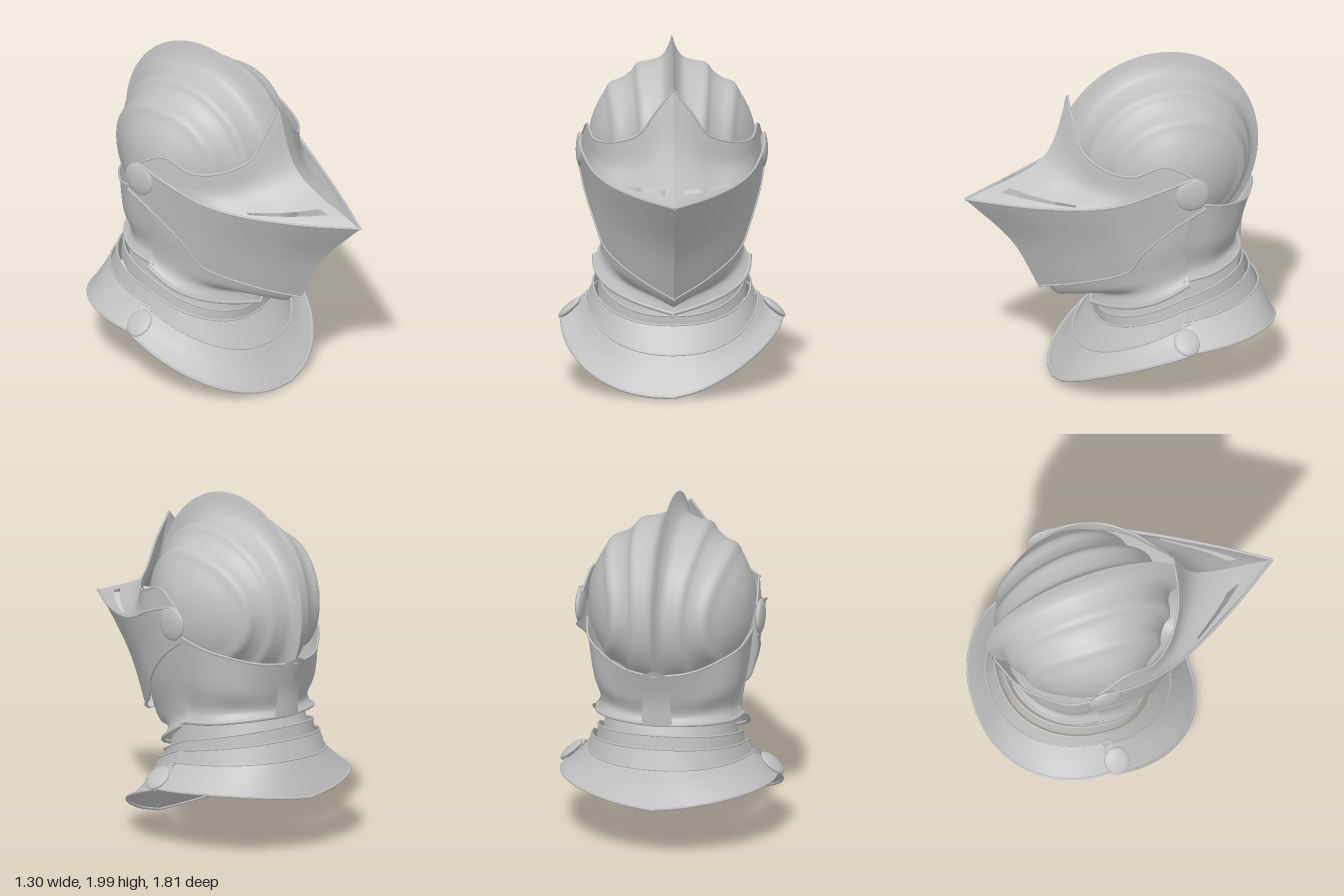
import * as THREE from 'three';

const steel = new THREE.MeshStandardMaterial({ color: 0xc0c0c0, side: THREE.DoubleSide });
steel.name = 'plain steel';

const V = (x, y, z) => new THREE.Vector3(x, y, z);
const pts = (list) => list.map((p) => V(...p));
const spline = (points) => new THREE.CatmullRomCurve3(points);

// Smooth sheet through rows of control points; sign mirrors it in x
function sheet(rows, sign, { nu = 32, nv = 16, round = false, hole = () => false, warp = (u, v) => v } = {}) {
  const curves = rows.map(spline);
  const pos = [], idx = [];
  for (let i = 0; i <= nu; i++) {
    const across = spline(curves.map((c) => c.getPoint(i / nu)));
    for (let j = 0; j <= nv; j++) {
      const p = across.getPoint(warp(i / nu, j / nv));
      pos.push(p.x * sign, p.y, p.z);
      if (i === nu || j === nv || hole(i / nu, j / nv)) continue;
      const a = i * (nv + 1) + j, b = a + nv + 1;
      if (sign > 0) idx.push(a, b, a + 1, b, b + 1, a + 1);
      else idx.push(a, a + 1, b, b, a + 1, b + 1);
    }
  }
  const g = new THREE.BufferGeometry();
  g.setAttribute('position', new THREE.Float32BufferAttribute(pos, 3));
  g.setIndex(idx);
  g.computeVertexNormals();
  if (round) { // no crease where the two halves meet
    const n = g.attributes.normal;
    for (let k = 0; k < n.count; k++) {
      if (Math.abs(pos[k * 3]) > 1e-4) continue;
      const v = V(0, n.getY(k), n.getZ(k)).normalize();
      n.setXYZ(k, v.x, v.y, v.z);
    }
  }
  return g;
}

// Rolled edge along a row
const rolled = (row, sign, r) =>
  new THREE.TubeGeometry(spline(row.map((p) => V(p.x * sign, p.y, p.z))), 40, r, 6);

// Quarter ring from the side point [x,y,z] to the centre line point [z,y],
// raised by lift and widened by swell halfway
function quarter([sx, sy, sz], [ez, ey], lift = 0, swell = 0) {
  return Array.from({ length: 8 }, (_, i) => {
    const a = (i / 7) * Math.PI / 2, s = Math.sin(a), half = Math.sin(2 * a);
    const x = i === 7 ? 0 : sx * Math.pow(Math.cos(a), 0.9) + swell * half;
    return V(x, sy + (ey - sy) * s + lift * half, sz + (ez - sz) * s);
  });
}

// Pointed quarter section, meeting in a keel at the front
function wedge([sx, sy, sz], [ez, ey], power) {
  return Array.from({ length: 9 }, (_, i) => {
    const t = i / 8;
    return V(sx * (1 - Math.pow(t, power)), sy + (ey - sy) * t, sz + (ez - sz) * t);
  });
}

// Row halfway between two rows, pulled in towards the keel
const between = (a, b, dy, dz) => a.map((p, i) => {
  const u = i / (a.length - 1), m = p.clone().lerp(b[i], 0.5);
  return m.add(V(0, dy * u * u, dz * u * u));
});

export function createModel() {
  const model = new THREE.Group();
  const add = (name, geometry) => {
    const m = new THREE.Mesh(geometry, steel);
    m.name = name;
    model.add(m);
    return m;
  };

  // Skull: x, height radius, rear depth radius of comb and flutes
  const profile = [
    [0, 0.62, 0.59], [0.025, 0.55, 0.555], [0.06, 0.5, 0.53], [0.13, 0.475, 0.515],
    [0.2, 0.46, 0.5], [0.235, 0.415, 0.475], [0.29, 0.375, 0.455], [0.36, 0.345, 0.44],
    [0.39, 0.295, 0.385], [0.43, 0.225, 0.31], [0.465, 0.13, 0.18], [0.485, 0.005, 0.005],
  ];
  const skull = profile.map(([x, ry, rz]) => Array.from({ length: 17 }, (_, i) => {
    const a = THREE.MathUtils.degToRad(-5 + ((230 + 55 * x) * i) / 16), c = Math.cos(a);
    // the flutes draw together towards front and back
    const taper = 1 - (c > 0 ? 0.12 : 0.32) * c * c * (rz / 0.5) ** 2;
    return V(x * taper, 1.38 + ry * Math.sin(a), -0.24 + c * (c > 0 ? ry : rz));
  }));

  // Lower visor, from pivot to beak
  const ventTop = pts([[0.53, 1.43, -0.29], [0.52, 1.37, -0.1], [0.46, 1.285, 0.1],
    [0.37, 1.24, 0.3], [0.2, 1.215, 0.6], [0, 1.21, 0.905]]);
  const ventLow = pts([[0.53, 1.24, -0.38], [0.5, 1.12, -0.2], [0.44, 0.95, -0.03],
    [0.385, 0.82, 0.04], [0.2, 0.69, 0.28], [0, 0.6, 0.47]]);
  const ventail = [ventTop, between(ventTop, ventLow, 0, -0.06), ventLow];

  // Upper visor with its peaked brow, tucked behind the lower one
  const sightLow = pts([[0.515, 1.33, -0.3], [0.505, 1.31, -0.15], [0.465, 1.265, 0.05],
    [0.38, 1.235, 0.26], [0.27, 1.222, 0.46], [0.14, 1.215, 0.68], [0, 1.212, 0.89]]);
  const sightTop = pts([[0.51, 1.42, -0.33], [0.485, 1.51, -0.15], [0.45, 1.455, 0.03],
    [0.35, 1.46, 0.16], [0.2, 1.52, 0.26], [0.1, 1.66, 0.29], [0, 1.79, 0.3]]);
  const sight = [sightLow, between(sightLow, sightTop, -0.08, -0.15), sightTop];
  const slit = (u, v) => u > 0.57 && u < 0.92 && v > 0.06 && v < 0.108;
  const slant = (u, v) => Math.pow(v, 1 - 0.22 * THREE.MathUtils.clamp((u - 0.5) / 0.4, 0, 1));

  // Chin guard
  const bevor = [
    wedge([0.445, 0.72, -0.3], [0.16, 0.46], 2.8),
    wedge([0.41, 0.77, -0.3], [0.16, 0.53], 2.6),
    wedge([0.415, 0.85, -0.29], [0.36, 0.54], 1.8),
    wedge([0.445, 1.0, -0.27], [0.46, 0.72], 1.6),
    wedge([0.49, 1.28, -0.35], [0.48, 1.0], 1.6),
  ];

  // Nape plate
  const nape = [
    [[0.485, 1.26, -0.3], [0.44, 1.2, -0.48], [0.345, 1.155, -0.59], [0.2, 1.115, -0.71], [0, 1.1, -0.785]],
    [[0.435, 0.98, -0.24], [0.415, 0.96, -0.45], [0.32, 0.94, -0.585], [0.17, 0.93, -0.675], [0, 0.93, -0.72]],
    [[0.4, 0.79, -0.26], [0.37, 0.81, -0.45], [0.27, 0.82, -0.575], [0.15, 0.82, -0.65], [0, 0.82, -0.685]],
    [[0.42, 0.73, -0.27], [0.39, 0.75, -0.46], [0.29, 0.77, -0.6], [0.16, 0.78, -0.675], [0, 0.78, -0.705]],
  ].map(pts);

  // Strip under the end of the comb
  const tail = [
    [[0.09, 1.1, -0.765], [0.05, 1.12, -0.785], [0, 1.14, -0.8]],
    [[0.08, 0.93, -0.715], [0.04, 0.93, -0.725], [0, 0.93, -0.73]],
    [[0.09, 0.78, -0.7], [0.05, 0.78, -0.71], [0, 0.78, -0.715]],
  ].map(pts);

  // Collar lames: upper and lower edge as side, front and back points
  const lames = [
    ['UpperLame', [0.365, 0.73, -0.28], [0.09, 0.49], [-0.65, 0.8], [0.39, 0.57, -0.28], [0.105, 0.42], [-0.695, 0.69]],
    ['MiddleLame', [0.415, 0.62, -0.28], [0.125, 0.44], [-0.72, 0.72], [0.425, 0.53, -0.28], [0.125, 0.38], [-0.735, 0.63]],
    ['LowerLame', [0.452, 0.57, -0.28], [0.145, 0.39], [-0.755, 0.65], [0.485, 0.47, -0.28], [0.25, 0.21], [-0.8, 0.53]],
  ];
  const flareFront = (lift, swell) => [
    quarter([0.495, 0.5, -0.3], [0.25, 0.235]),
    quarter([0.55, 0.43, -0.3], [0.31, 0.13], lift / 2, swell / 2),
    quarter([0.635, 0.37, -0.28], [0.385, 0.015], lift, swell),
  ];
  const flareBack = [
    quarter([0.48, 0.5, -0.25], [-0.81, 0.545]),
    quarter([0.535, 0.44, -0.25], [-0.845, 0.45], 0.02, 0.015),
    quarter([0.615, 0.365, -0.25], [-0.895, 0.33], 0.045, 0.035),
  ];

  // Flat closure inside the neck
  const neckMiddle = pts(Array(4).fill([0, 0.64, -0.28]));
  const neckRims = [quarter([0.375, 0.64, -0.28], [0.095, 0.49]), quarter([0.375, 0.64, -0.28], [-0.665, 0.77])];

  for (const sign of [1, -1]) {
    const side = sign > 0 ? 'left' : 'right';
    add(side + 'Skull', sheet(skull, sign, { nu: 48, nv: 66 }));
    add(side + 'LowerVisor', sheet(ventail, sign, { nu: 40 }));
    add(side + 'LowerVisorTopRim', rolled(ventTop, sign, 0.008));
    add(side + 'LowerVisorBottomRim', rolled(ventLow, sign, 0.007));
    add(side + 'UpperVisor', sheet(sight, sign, { nu: 60, nv: 64, hole: slit, warp: slant }));
    add(side + 'BrowRim', rolled(sightTop, sign, 0.007));
    add(side + 'ChinGuard', sheet(bevor, sign, { nv: 28, round: true }));
    add(side + 'ChinGuardRim', rolled(bevor[0], sign, 0.012));
    add(side + 'NapePlate', sheet(nape, sign, { nv: 24, round: true }));
    add(side + 'NapeTopRim', rolled(nape[0], sign, 0.007));
    add(side + 'NapeBottomRim', rolled(nape[3], sign, 0.012));
    add(side + 'TailStrip', sheet(tail, sign, { nu: 8, round: true }));
    neckRims.forEach((rim, i) =>
      add(side + 'NeckClosure' + ['Front', 'Back'][i], sheet([rim, neckMiddle], sign, { nv: 2 })));

    for (const [name, topSide, topFront, topBack, lowSide, lowFront, lowBack] of lames) {
      const front = [quarter(topSide, topFront), quarter(lowSide, lowFront)];
      const back = [quarter(topSide, topBack), quarter(lowSide, lowBack)];
      add(side + name + 'Front', sheet(front, sign, { nv: 4, round: true }));
      add(side + name + 'Back', sheet(back, sign, { nv: 4, round: true }));
      add(side + name + 'FrontRim', rolled(front[0], sign, 0.006));
      add(side + name + 'BackRim', rolled(back[0], sign, 0.006));
    }
    // The left lip of the front flare is bent up and in
    const flare = sign > 0 ? flareFront(0.07, -0.04) : flareFront(0, 0);
    add(side + 'CollarFlareFront', sheet(flare, sign, { nv: 10, round: true }));
    add(side + 'CollarFlareBack', sheet(flareBack, sign, { nv: 10, round: true }));
    add(side + 'CollarFrontTopRim', rolled(flare[0], sign, 0.006));
    add(side + 'CollarBackTopRim', rolled(flareBack[0], sign, 0.006));
    add(side + 'CollarFrontRim', rolled(flare[2], sign, 0.009));
    add(side + 'CollarBackRim', rolled(flareBack[2], sign, 0.007));

    // Rounded visor pivot and pinched collar joint
    const pivot = add(side + 'VisorPivot', new THREE.SphereGeometry(1, 32, 16));
    pivot.scale.set(0.025, 0.1, 0.1);
    pivot.position.set(sign * 0.525, 1.335, -0.3);
    const joint = add(side + 'CollarJoint', new THREE.SphereGeometry(1, 24, 12));
    joint.scale.set(0.085, 0.022, 0.075);
    joint.rotation.z = -sign * 0.72;
    joint.position.set(sign * 0.585, 0.425, -0.25);
  }
  return model;
}
